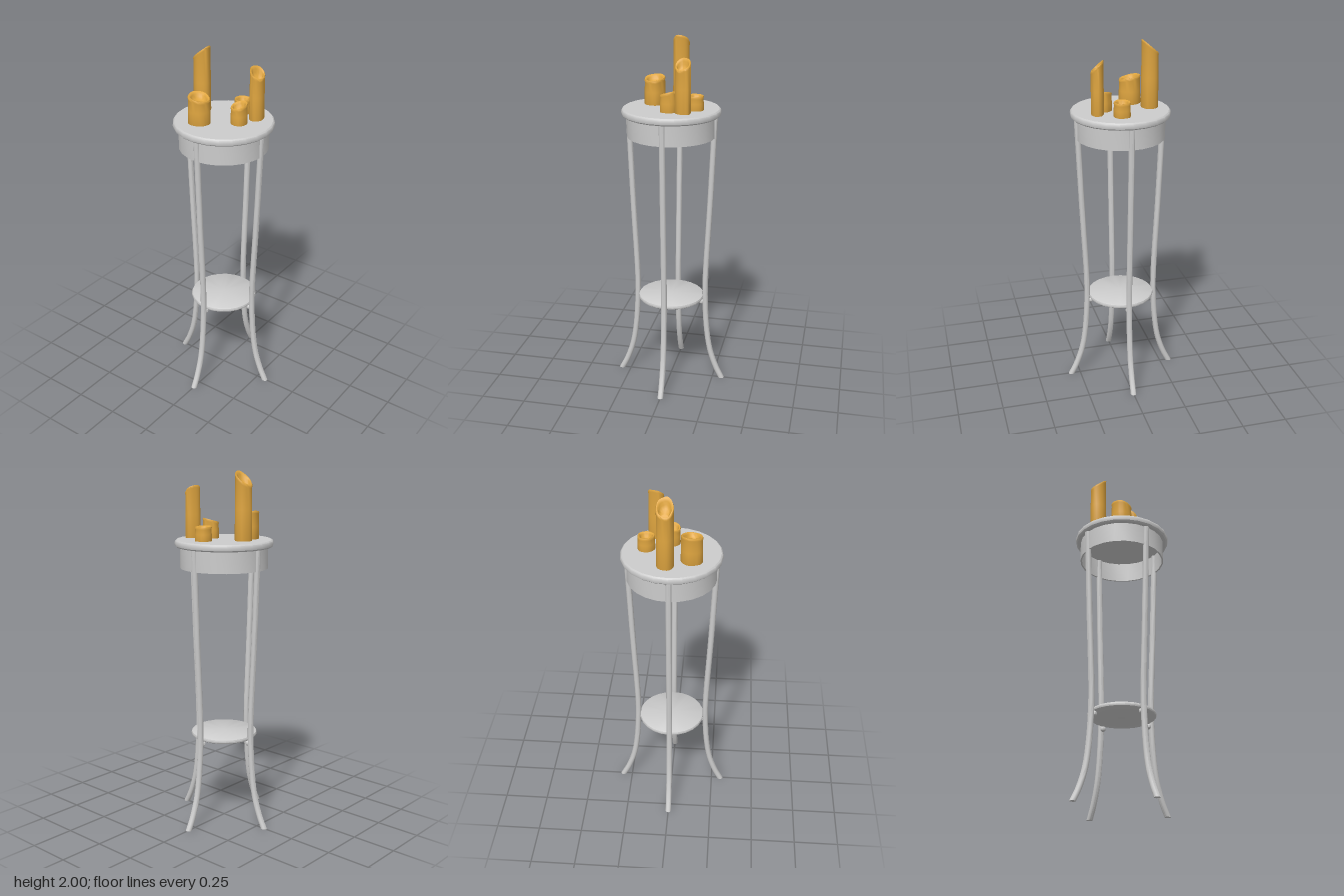
import * as THREE from 'three';
import { toCreasedNormals } from 'three/addons/utils/BufferGeometryUtils.js';

const grey = new THREE.MeshStandardMaterial({ color: 0xcccccc, side: THREE.DoubleSide });
const wax = new THREE.MeshStandardMaterial({ color: 0xe0a640 });

function addMesh(parent, name, geometry, material = grey, crease = 0.6) {
  const mesh = new THREE.Mesh(toCreasedNormals(geometry, crease), material);
  mesh.name = name;
  parent.add(mesh);
  return mesh;
}

const lathe = (points, segments) =>
  new THREE.LatheGeometry(points.map(([r, y]) => new THREE.Vector2(r, y)), segments);

// Slim leg: horizontal sections swept along a curve that flares out at the foot
function legGeometry() {
  const curve = new THREE.CatmullRomCurve3(
    [[0.302, 0], [0.268, 0.07], [0.232, 0.18], [0.211, 0.32], [0.2, 0.5],
      [0.2, 0.64], [0.219, 1.05], [0.235, 1.45], [0.24, 1.59]]
      .map(([x, y]) => new THREE.Vector3(x, y, 0)));
  const geo = new THREE.CylinderGeometry(1, 1, 1, 12, 28);
  const pos = geo.attributes.position;
  for (let i = 0; i < pos.count; i++) {
    const t = pos.getY(i) + 0.5;
    const p = curve.getPoint(t);
    const tan = curve.getTangent(t);
    const stretch = 1 / Math.max(tan.y, 0.5);
    pos.setXYZ(i, p.x + pos.getX(i) * 0.0165 * stretch, p.y, pos.getZ(i) * 0.0165);
  }
  return geo;
}

// Hollowed candle with a rounded rim; the top is sheared to a slant
function candleGeometry({ rx, rz, base, top, slopeX, slopeZ, depth }, seed) {
  const h = top - base;
  const geo = lathe([[0, 0], [0.97, 0], [1, 0.006], [0.98, h * 0.5], [0.96, h - 0.014],
    [0.99, h - 0.006], [0.93, h], [0.8, h - 0.001], [0.69, h - 0.009],
    [0.62, h - depth * 0.7], [0.45, h - depth], [0, h - depth]], 24);
  const pos = geo.attributes.position;
  for (let i = 0; i < pos.count; i++) {
    const x = pos.getX(i), y = pos.getY(i), z = pos.getZ(i);
    const a = Math.atan2(z, x);
    const wobble = 1 + 0.025 * Math.sin(3 * a + seed) + 0.02 * Math.sin(5 * a + seed * 2);
    const px = x * rx * wobble, pz = z * rz * wobble;
    const lift = y > h * 0.55 || y > h - depth - 0.001 ? slopeX * px + slopeZ * pz : 0;
    pos.setXYZ(i, px, y + lift, pz);
  }
  return geo;
}

export function createModel() {
  const group = new THREE.Group();

  // Round top with a softened edge
  addMesh(group, 'tableTop', lathe([[0, 1.585], [0.262, 1.585], [0.27, 1.592],
    [0.273, 1.605], [0.269, 1.618], [0.262, 1.624], [0, 1.624]], 24));

  // Open ring below the top
  addMesh(group, 'apron', lathe([[0.234, 1.586], [0.234, 1.468], [0.243, 1.468], [0.243, 1.586]], 24));

  // Lower shelf
  addMesh(group, 'shelf', lathe([[0, 0.5], [0.178, 0.5], [0.187, 0.506], [0.189, 0.514],
    [0.186, 0.523], [0.178, 0.528], [0, 0.528]], 24));

  // Four legs, each with a small peg carrying the shelf
  for (let i = 0; i < 4; i++) {
    const unit = new THREE.Group();
    unit.name = 'leg' + (i + 1);
    unit.rotation.y = i * Math.PI / 2;
    addMesh(unit, 'legPost', legGeometry());
    const peg = addMesh(unit, 'shelfPeg', new THREE.SphereGeometry(0.016, 10, 8));
    peg.position.set(0.18, 0.487, 0);
    group.add(unit);
  }

  // Candles: centre, radii, base and mid-rim height, slant of the rim
  const candles = [
    { x: -0.157, z: -0.023, rx: 0.047, rz: 0.046, base: 1.63, top: 1.96, slopeX: 0.85, slopeZ: 0, depth: 0.035 },
    { x: -0.08, z: 0.11, rx: 0.06, rz: 0.058, base: 1.62, top: 1.768, slopeX: -0.2, slopeZ: -0.06, depth: 0.03 },
    { x: 0.026, z: -0.137, rx: 0.045, rz: 0.047, base: 1.62, top: 1.702, slopeX: 0, slopeZ: 0.03, depth: 0.03 },
    { x: 0.095, z: -0.004, rx: 0.045, rz: 0.046, base: 1.62, top: 1.724, slopeX: 0.12, slopeZ: -0.25, depth: 0.03 },
    { x: 0.147, z: -0.092, rx: 0.034, rz: 0.044, base: 1.63, top: 1.888, slopeX: -0.9, slopeZ: 0, depth: 0.035, turn: -0.3 },
  ];
  candles.forEach((c, i) => {
    const mesh = addMesh(group, 'candle' + (i + 1), candleGeometry(c, i * 1.7), wax, 0.9);
    mesh.position.set(c.x, c.base, c.z);
    mesh.rotation.y = c.turn || 0;
  });

  return group;
}
